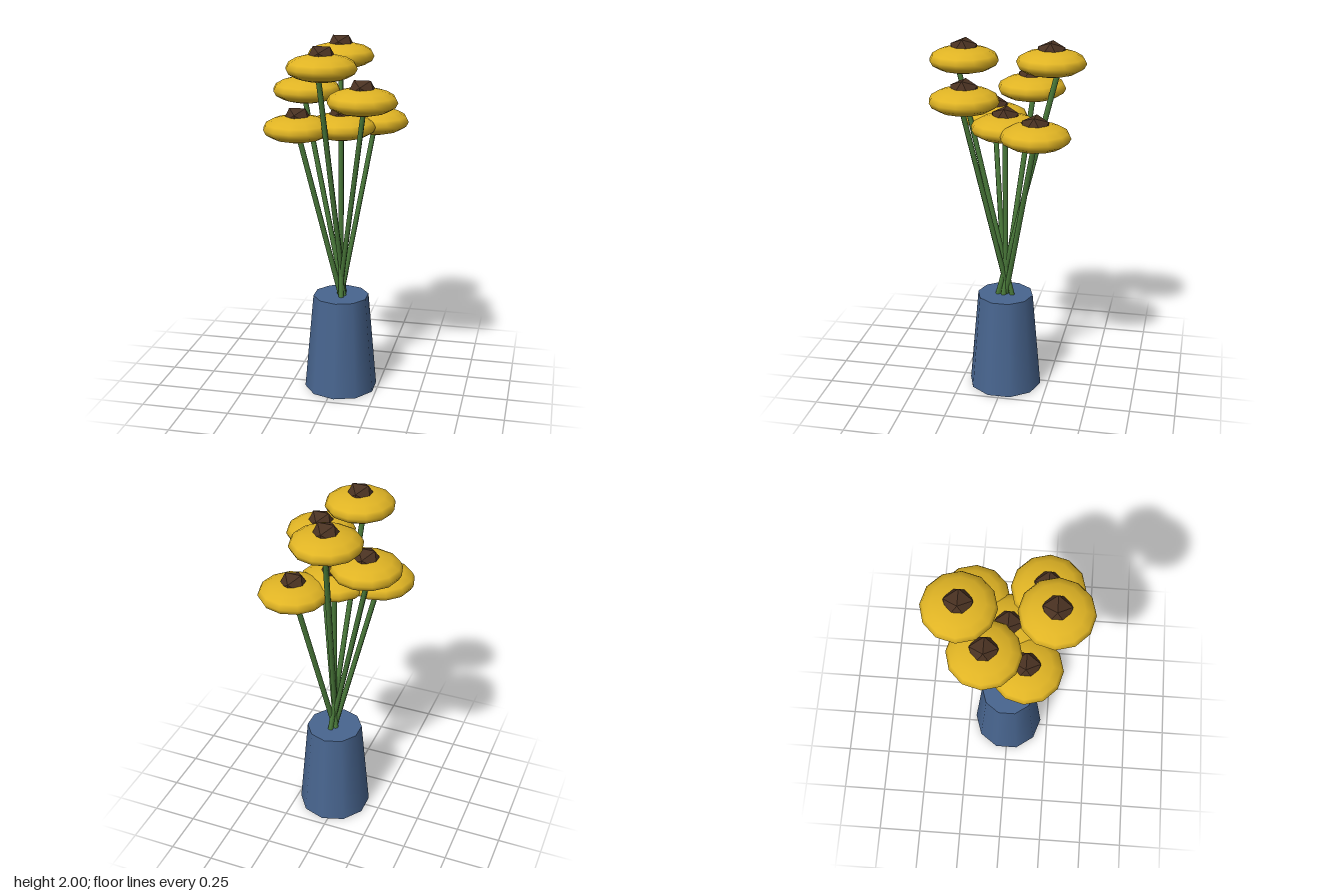
import * as THREE from 'three';

export function createModel() {
  const model = new THREE.Group();
  model.name = 'flowersInVase';

  const material = (name, color) => {
    const m = new THREE.MeshStandardMaterial({ color });
    m.name = name;
    return m;
  };
  const vaseBlue = material('vaseBlue', 0x48658f);
  const stemGreen = material('stemGreen', 0x4a7a3a);
  const petalYellow = material('petalYellow', 0xe0b424);
  const seedBrown = material('seedBrown', 0x4a3222);
  seedBrown.flatShading = true;

  const add = (parent, name, geometry, mat, x, y, z) => {
    const mesh = new THREE.Mesh(geometry, mat);
    mesh.name = name;
    mesh.position.set(x, y, z);
    parent.add(mesh);
    return mesh;
  };

  // Tapered ten-sided vase, closed at the top
  const centreX = 0.033, vaseHeight = 0.56;
  add(model, 'vase', new THREE.CylinderGeometry(0.158, 0.208, vaseHeight, 10),
    vaseBlue, centreX, vaseHeight / 2, 0);

  // Shared flower parts: flattened bloom and faceted seed head
  const bloomGeometry = new THREE.SphereGeometry(0.19, 12, 8).scale(1, 0.38, 1);
  const seedGeometry = new THREE.IcosahedronGeometry(0.085, 0);

  // One flower in the middle and six fanned around it at three heights
  const count = 7, ring = 0.243, lean = 0.245, stemBase = 0.53;
  for (let i = 0; i < count; i++) {
    const angle = (i / count) * Math.PI * 2;
    const spread = i === 0 ? 0 : 1;
    const dx = Math.cos(angle) * spread, dz = Math.sin(angle) * spread;
    const x = centreX + dx * ring, z = dz * ring;
    const y = 1.538 + (i % 3) * 0.176;

    const flower = new THREE.Group();
    flower.name = `flower${i + 1}`;
    model.add(flower);

    // Stem is centred between vase and bloom, then tilted outwards
    const stem = add(flower, 'stem', new THREE.CylinderGeometry(0.015, 0.015, y - stemBase, 6),
      stemGreen, centreX + dx * ring / 2, (y + stemBase) / 2, z / 2);
    stem.rotation.set(dz * lean, 0, -dx * lean);

    add(flower, 'bloom', bloomGeometry, petalYellow, x, y, z);
    add(flower, 'seedHead', seedGeometry, seedBrown, x, y + 0.038, z);
  }

  return model;
}
